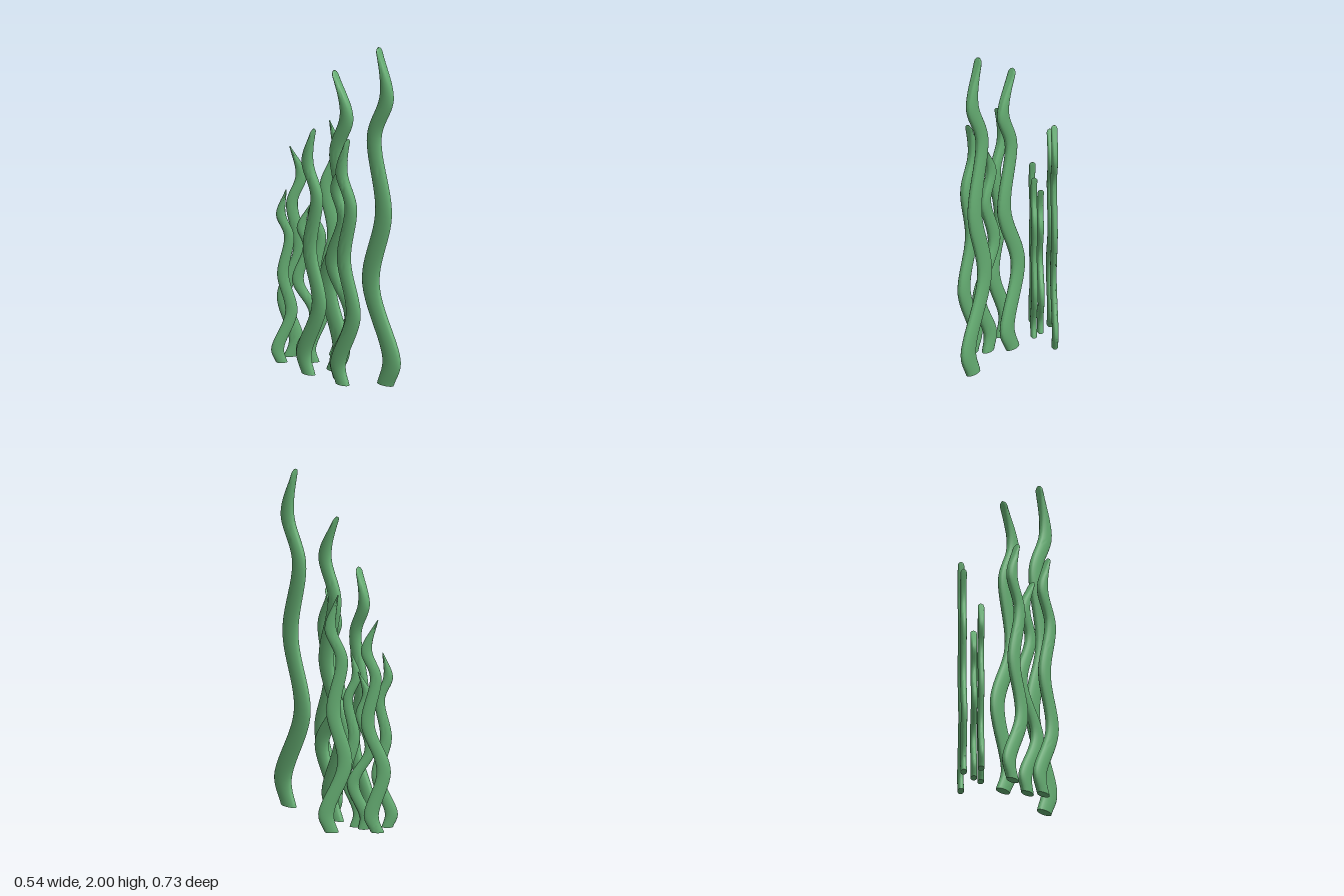
import * as THREE from 'three';
import { toCreasedNormals } from 'three/addons/utils/BufferGeometryUtils.js';

// Heights (as fractions) of the bends of a blade, and its half width at each
const LEVELS = [0, 0.075, 0.29, 0.51, 0.73, 0.86, 1];
const WIDTHS = [0.056, 0.063, 0.06, 0.057, 0.049, 0.047, 0.004];
const THICKNESS = 0.026;

// Sideways sway at each level
const GENTLE = [0.03, 0.075, -0.075, 0.017, -0.05, 0.04, -0.02];
const LEANING = [-0.02, 0.03, -0.07, 0.058, -0.006, 0.068, -0.023];
const STRONG = [0.02, 0.04, -0.065, 0.075, -0.005, 0.046, -0.023];

// x, z, height, sway, sway scale (negative is mirrored), width scale
const BLADES = [
  [0.185, 0.243, 2.0, GENTLE, 1, 1],
  [0.025, -0.03, 1.79, LEANING, 1, 0.95],
  [-0.13, -0.027, 1.47, GENTLE, -0.735, 0.82],
  [-0.012, 0.2, 1.47, GENTLE, -0.735, 0.82],
  [0.005, 0.11, 1.32, STRONG, -1, 0.82],
];

// Wavy blade: a cylinder whose rings follow a curve (sway, height, half width)
function bladeGeometry(height, sway, swayScale, widthScale) {
  const curve = new THREE.CatmullRomCurve3(LEVELS.map((t, i) =>
    new THREE.Vector3(sway[i] * swayScale, t * height, WIDTHS[i] * widthScale)));
  const geometry = new THREE.CylinderGeometry(1, 1, 1, 20, 72);
  const pos = geometry.attributes.position;
  const dome = 0.03;
  for (let i = 0; i < pos.count; i++) {
    // Rings gather towards the tip so that its dome is round
    const s = pos.getY(i) + 0.5;
    const t = s < 0.85 ? s * (0.95 / 0.85) : 1 - 0.05 * ((1 - s) / 0.15) ** 1.5;
    const p = curve.getPoint(t);
    const k = Math.min(0.99, Math.max(0, (p.y - height + dome) / dome));
    const thick = THICKNESS * Math.sqrt(1 - k * k);
    pos.setXYZ(i, p.x + pos.getX(i) * Math.max(p.z, 0.003), Math.max(p.y, 0), pos.getZ(i) * thick);
  }
  return toCreasedNormals(geometry, Math.PI / 3.5);
}

export function createModel() {
  const model = new THREE.Group();
  model.name = 'seaweed';
  const green = new THREE.MeshStandardMaterial({ color: 0x65ad72 });
  green.name = 'seaweed green';

  // Tall clump at the front
  const tall = new THREE.Group();
  tall.name = 'tallClump';
  BLADES.forEach(([x, z, ...shape], i) => {
    const blade = new THREE.Mesh(bladeGeometry(...shape), green);
    blade.name = `blade${i + 1}`;
    blade.position.set(x, 0, z);
    blade.rotation.y = -Math.PI / 3;
    tall.add(blade);
  });

  // Smaller, turned copy behind it
  const small = tall.clone();
  small.name = 'smallClump';
  small.scale.setScalar(0.7);
  small.rotation.y = THREE.MathUtils.degToRad(43);
  small.position.set(-0.124, 0.005, -0.307);

  model.add(tall, small);
  return model;
}
